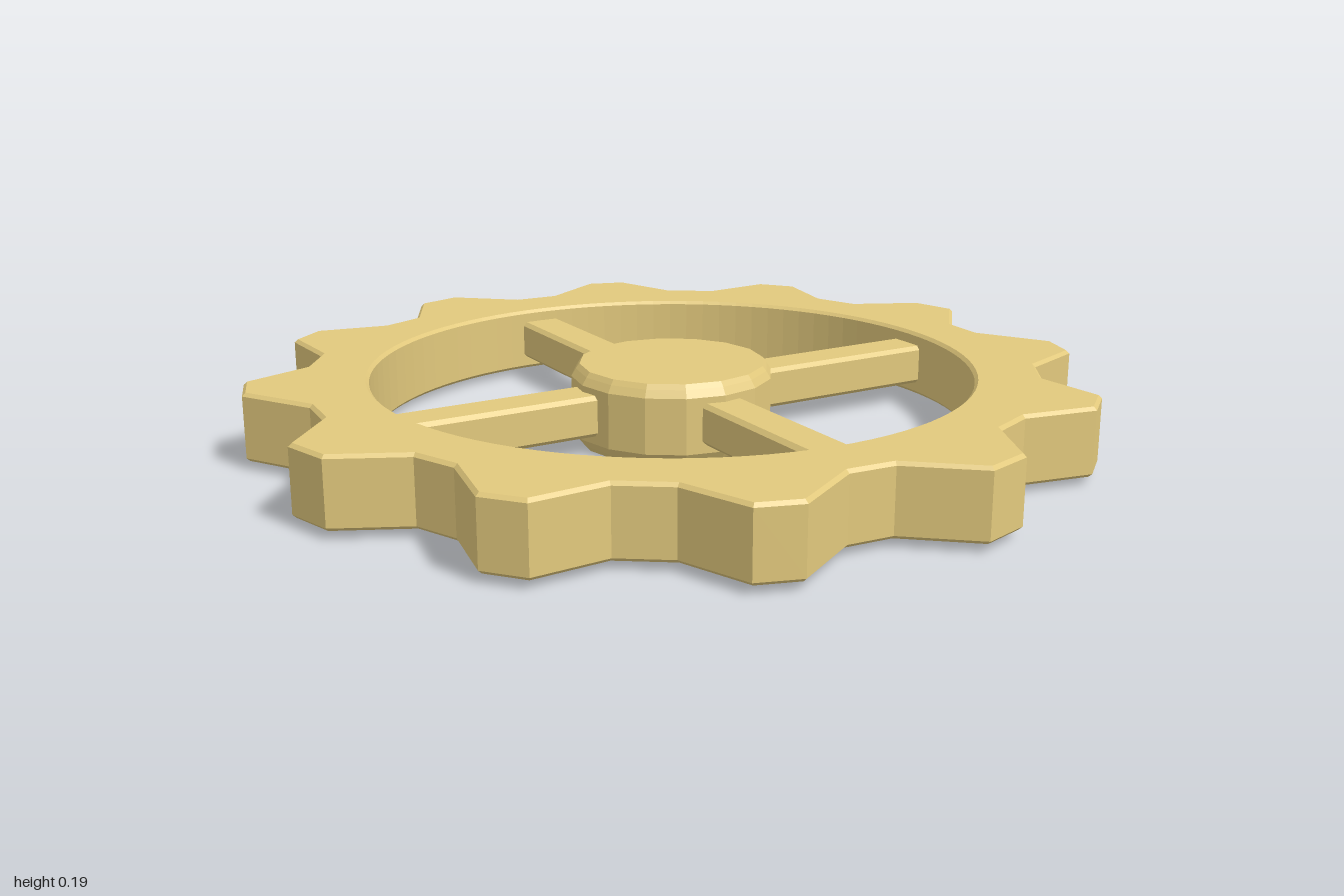
import * as THREE from 'three';

const brass = new THREE.MeshStandardMaterial({ color: 0xe2c97d, flatShading: true });
brass.name = 'brass';

// One quarter of the toothed outline as (x, z): three teeth, two tip and two valley points each
const QUARTER = [
  [-0.26, -0.967], [-0.145, -1.0], [0.0, -0.877], [0.11, -0.87],
  [0.28, -0.973], [0.38, -0.94], [0.44, -0.77], [0.545, -0.697],
  [0.725, -0.708], [0.793, -0.625], [0.76, -0.445], [0.803, -0.34],
];

function addMesh(parent, name, geometry) {
  const mesh = new THREE.Mesh(geometry, brass);
  mesh.name = name;
  parent.add(mesh);
  return mesh;
}

// Flat extrusion with softened edges, lying between y0 and y1
function slab(shape, y0, y1, bevel) {
  const geometry = new THREE.ExtrudeGeometry(shape, {
    depth: y1 - y0 - 2 * bevel, curveSegments: 48, bevelEnabled: true,
    bevelSize: bevel, bevelThickness: bevel, bevelOffset: -bevel, bevelSegments: 1,
  });
  geometry.rotateX(-Math.PI / 2);
  geometry.translate(0, y0 + bevel, 0);
  return geometry;
}

export function createModel() {
  const gear = new THREE.Group();
  gear.name = 'gearWheel';

  // Toothed rim: the quarter outline turned four times, with a round opening
  const outline = [];
  for (let q = 0; q < 4; q++) {
    for (const [x, z] of QUARTER) {
      const p = new THREE.Vector2(x, -z);
      outline.push(p.rotateAround(new THREE.Vector2(), -q * Math.PI / 2));
    }
  }
  // The outline runs clockwise, so the opening runs counter-clockwise to face inwards
  const rimShape = new THREE.Shape(outline);
  const opening = new THREE.Path();
  opening.absarc(0, 0, 0.725, 0, Math.PI * 2, false);
  rimShape.holes.push(opening);
  addMesh(gear, 'toothedRim', slab(rimShape, 0.018, 0.182, 0.008));

  // Four spokes with chamfered long edges, sunk into hub and rim
  const w = 0.055, y0 = 0.05, y1 = 0.15, c = 0.01;
  const section = new THREE.Shape([
    [-w + c, y0], [w - c, y0], [w, y0 + c], [w, y1 - c],
    [w - c, y1], [-w + c, y1], [-w, y1 - c], [-w, y0 + c],
  ].map(([x, y]) => new THREE.Vector2(x, y)));
  for (let i = 0; i < 4; i++) {
    const geometry = new THREE.ExtrudeGeometry(section, { depth: 0.55, bevelEnabled: false });
    geometry.translate(0, 0, 0.19);
    addMesh(gear, 'spoke', geometry).rotation.y = i * Math.PI / 2;
  }

  // Faceted hub with chamfered top and bottom edges
  const profile = [
    [0, 0], [0.225, 0], [0.234, 0.012], [0.245, 0.03],
    [0.245, 0.165], [0.234, 0.183], [0.225, 0.195], [0, 0.195],
  ].map(([r, y]) => new THREE.Vector2(r, y));
  addMesh(gear, 'hub', new THREE.LatheGeometry(profile, 16));

  return gear;
}
